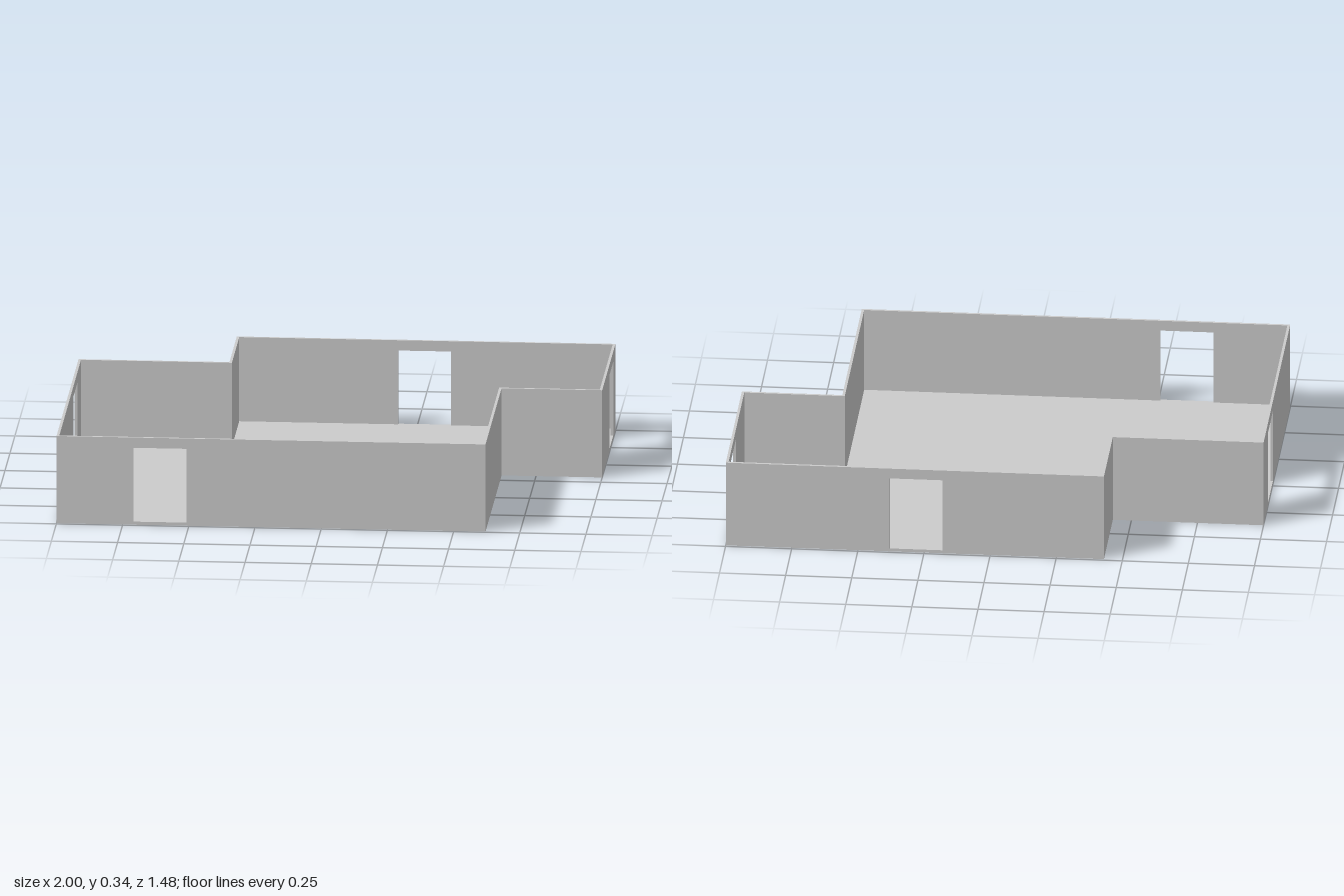
import * as THREE from 'three';

const HEIGHT = 0.34, THICK = 0.01, FLOOR = 0.012, DOOR_WIDTH = 0.2, DOOR_TOP = 0.3;

// Outer corners (x, z) in wall order; door = distance from the wall's start to its doorway
const WALLS = [
  { name: 'frontWall', x: -1, z: 0.74, door: 0.29 },
  { name: 'frontNotchSideWall', x: 0.62, z: 0.74 },
  { name: 'frontNotchWall', x: 0.62, z: -0.07 },
  { name: 'leftWall', x: 1, z: -0.07, door: 0.36 },
  { name: 'backWall', x: 1, z: -0.74, door: 0.62 },
  { name: 'backNotchSideWall', x: -0.43, z: -0.74 },
  { name: 'backNotchWall', x: -0.43, z: -0.37 },
  { name: 'rightWall', x: -1, z: -0.37, door: 0.19 },
];

const material = new THREE.MeshStandardMaterial({ color: 0xcccccc, flatShading: true });

function rectangle(Type, x0, y0, x1, y1) {
  return new Type([[x0, y0], [x1, y0], [x1, y1], [x0, y1]].map(([x, y]) => new THREE.Vector2(x, y)));
}

// Wall with its outer face on local z = 0 and both ends mitred
function wallGeometry(length, door, startShift, endShift) {
  const shape = rectangle(THREE.Shape, 0, 0, length, HEIGHT);
  if (door !== undefined) {
    shape.holes.push(rectangle(THREE.Path, door, FLOOR, door + DOOR_WIDTH, DOOR_TOP));
  }
  const geometry = new THREE.ExtrudeGeometry(shape, { depth: THICK, bevelEnabled: false });
  geometry.translate(0, 0, -THICK);
  const pos = geometry.attributes.position;
  for (let i = 0; i < pos.count; i++) {
    if (pos.getZ(i) > -THICK / 2) continue;
    if (pos.getX(i) < 1e-5) pos.setX(i, startShift);
    else if (pos.getX(i) > length - 1e-5) pos.setX(i, length - endShift);
  }
  geometry.computeVertexNormals();
  return geometry;
}

export function createModel() {
  const model = new THREE.Group();
  model.name = 'roomShell';
  const count = WALLS.length;
  const direction = (i) => {
    const a = WALLS[(i + count) % count], b = WALLS[(i + 1) % count];
    return new THREE.Vector2(b.x - a.x, b.z - a.z).normalize();
  };
  // Mitre is positive at outward corners and negative at inward corners
  const mitre = (i) => -THICK * Math.sign(direction(i - 1).cross(direction(i)));

  // Walls
  const innerCorners = [];
  WALLS.forEach((wall, i) => {
    const next = WALLS[(i + 1) % count];
    const dir = direction(i), before = direction(i - 1);
    const length = Math.hypot(next.x - wall.x, next.z - wall.z);
    const mesh = new THREE.Mesh(wallGeometry(length, wall.door, mitre(i), mitre(i + 1)), material);
    mesh.name = wall.name;
    mesh.position.set(wall.x, 0, wall.z);
    mesh.rotation.y = Math.atan2(-dir.y, dir.x);
    model.add(mesh);
    innerCorners.push(new THREE.Vector2(
      wall.x + THICK * (dir.y + before.y),
      -(wall.z - THICK * (dir.x + before.x)),
    ));
  });

  // Floor slab between the walls
  const floorGeometry = new THREE.ExtrudeGeometry(new THREE.Shape(innerCorners), { depth: FLOOR, bevelEnabled: false });
  floorGeometry.rotateX(-Math.PI / 2);
  const floor = new THREE.Mesh(floorGeometry, material);
  floor.name = 'floor';
  model.add(floor);

  return model;
}
